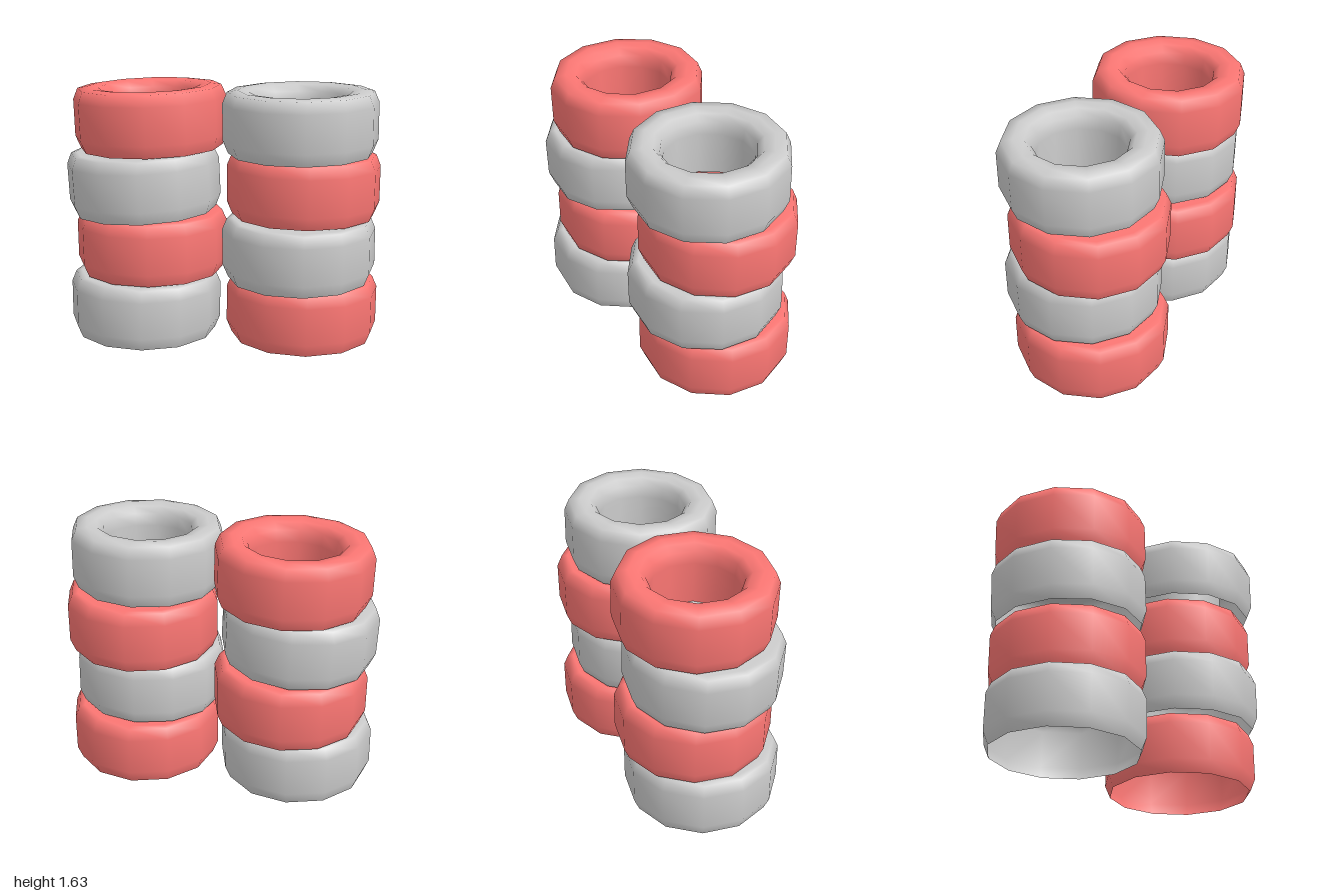
import * as THREE from 'three';

const SIDES = 12;
const grey = new THREE.MeshStandardMaterial({ color: 0xcccccc, side: THREE.DoubleSide });
const red = new THREE.MeshStandardMaterial({ color: 0xfb7673, side: THREE.DoubleSide });

// Bevelled tread shared by every tyre; the shells are open underneath
const tread = [[0.455, 0], [0.488, 0.08], [0.488, 0.315], [0.458, 0.385]];
// Covered tyres are closed by a flat top
const closedTop = [[0.42, 0.392], [0, 0.392]];
// The uppermost tyres have a rounded shoulder and an open centre
const hollowTop = [[0.39, 0.395], [0.325, 0.385], [0.287, 0.345], [0.275, 0.27], [0.275, 0]];

function makeTyre(material, top) {
  const profile = [...tread, ...top].map(([r, y]) => new THREE.Vector2(r, y));
  return new THREE.Mesh(new THREE.LatheGeometry(profile, SIDES), material);
}

// Each tyre: material, x, base height, z, tilt about x, tilt about z
const stacks = {
  rightStack: [
    [grey, -0.51, 0.012, -0.015, 0, -0.006],
    [red, -0.466, 0.414, -0.055, 0, 0.008],
    [grey, -0.502, 0.82, -0.015, 0, 0.044],
    [red, -0.463, 1.222, -0.055, 0, 0.028],
  ],
  leftStack: [
    [red, 0.513, 0.002, -0.01, 0, -0.002],
    [grey, 0.491, 0.406, 0.049, 0.015, 0.01],
    [red, 0.513, 0.806, -0.01, 0, -0.002],
    [grey, 0.491, 1.212, 0.049, 0.012, 0.01],
  ],
};

export function createModel() {
  const model = new THREE.Group();
  model.name = 'tyreStacks';
  for (const [name, tyres] of Object.entries(stacks)) {
    const stack = new THREE.Group();
    stack.name = name;
    tyres.forEach(([material, x, y, z, tiltX, tiltZ], i) => {
      const tyre = makeTyre(material, i === tyres.length - 1 ? hollowTop : closedTop);
      tyre.name = `tyre${i + 1}`;
      tyre.position.set(x, y, z);
      tyre.rotation.set(tiltX, 0.07, tiltZ);
      stack.add(tyre);
    });
    model.add(stack);
  }
  return model;
}
